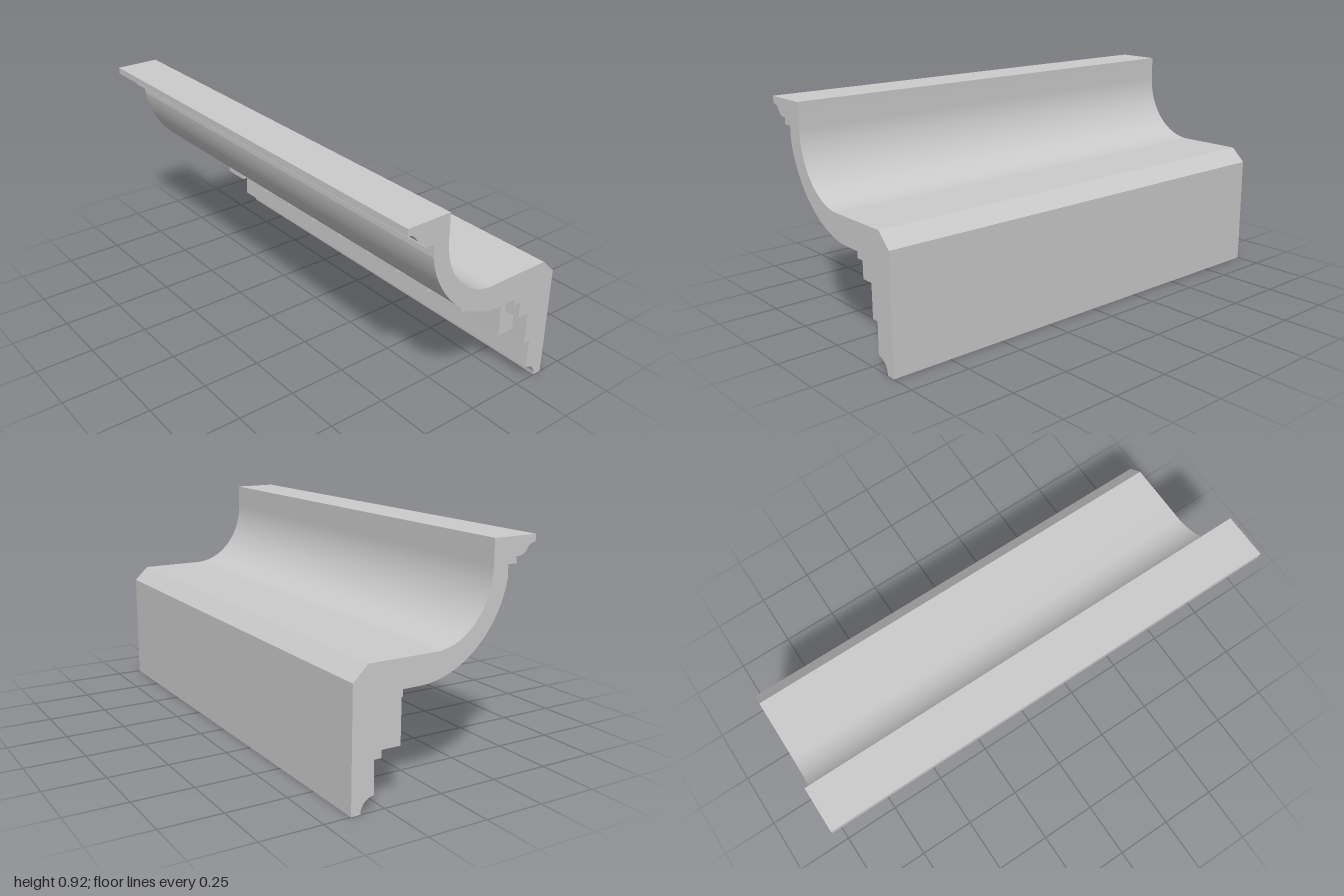
import * as THREE from 'three';
import { toCreasedNormals } from 'three/addons/utils/BufferGeometryUtils.js';

const material = new THREE.MeshStandardMaterial({ color: 0xcccccc });

// Extrudes a (z, y) profile along x, from x0 to x1
function extrudeAlongX(shape, x0, x1) {
  const geometry = new THREE.ExtrudeGeometry(shape, {
    depth: x1 - x0, bevelEnabled: false, curveSegments: 40,
  });
  geometry.rotateY(-Math.PI / 2);
  geometry.translate(x1, 0, 0);
  return toCreasedNormals(geometry, 0.13);
}

// Section of the whole moulding, starting at the foot of the back
function corniceProfile() {
  const s = new THREE.Shape();
  s.moveTo(-0.39, 0);
  // back, chamfer and upper ledge
  s.lineTo(-0.39, 0.48);
  s.lineTo(-0.328, 0.54);
  s.lineTo(-0.046, 0.54);
  // inner sweep up to the top
  s.absellipse(-0.046, 0.82, 0.246, 0.28, -Math.PI / 2, 0, false);
  s.lineTo(0.2, 0.92);
  s.lineTo(0.393, 0.92);
  // lip with small ogee and fillet
  s.lineTo(0.393, 0.891);
  s.quadraticCurveTo(0.368, 0.893, 0.353, 0.868);
  s.quadraticCurveTo(0.338, 0.843, 0.304, 0.846);
  s.lineTo(0.308, 0.82);
  s.lineTo(0.268, 0.82);
  s.lineTo(0.268, 0.768);
  // outer sweep down to the soffit
  s.bezierCurveTo(0.24, 0.59, 0.08, 0.427, -0.115, 0.427);
  s.lineTo(-0.183, 0.427);
  // stepped bed behind the dentils
  s.lineTo(-0.183, 0.4);
  s.lineTo(-0.215, 0.4);
  s.lineTo(-0.215, 0.33);
  s.lineTo(-0.268, 0.33);
  s.lineTo(-0.268, 0.192);
  s.lineTo(-0.298, 0.192);
  // lower fascia and foot cove
  s.lineTo(-0.296, 0.06);
  s.absellipse(-0.296, 0, 0.056, 0.06, Math.PI / 2, Math.PI, false);
  s.closePath();
  return s;
}

// Section of one dentil, notched to fit over the stepped bed
function dentilProfile() {
  return new THREE.Shape([
    [-0.188, 0.4], [-0.215, 0.4], [-0.215, 0.33],
    [-0.268, 0.33], [-0.268, 0.222], [-0.188, 0.222],
  ].map(([z, y]) => new THREE.Vector2(z, y)));
}

export function createModel() {
  const model = new THREE.Group();
  model.name = 'corniceMoulding';

  const body = new THREE.Mesh(extrudeAlongX(corniceProfile(), -1, 1), material);
  body.name = 'corniceBody';
  model.add(body);

  // row of dentils
  const dentils = new THREE.Group();
  dentils.name = 'dentils';
  const dentilGeometry = extrudeAlongX(dentilProfile(), 0, 0.132);
  for (let i = 0; i < 10; i++) {
    const dentil = new THREE.Mesh(dentilGeometry, material);
    dentil.name = 'dentil';
    dentil.position.x = -1 + i * 0.2;
    dentils.add(dentil);
  }
  model.add(dentils);
  return model;
}
